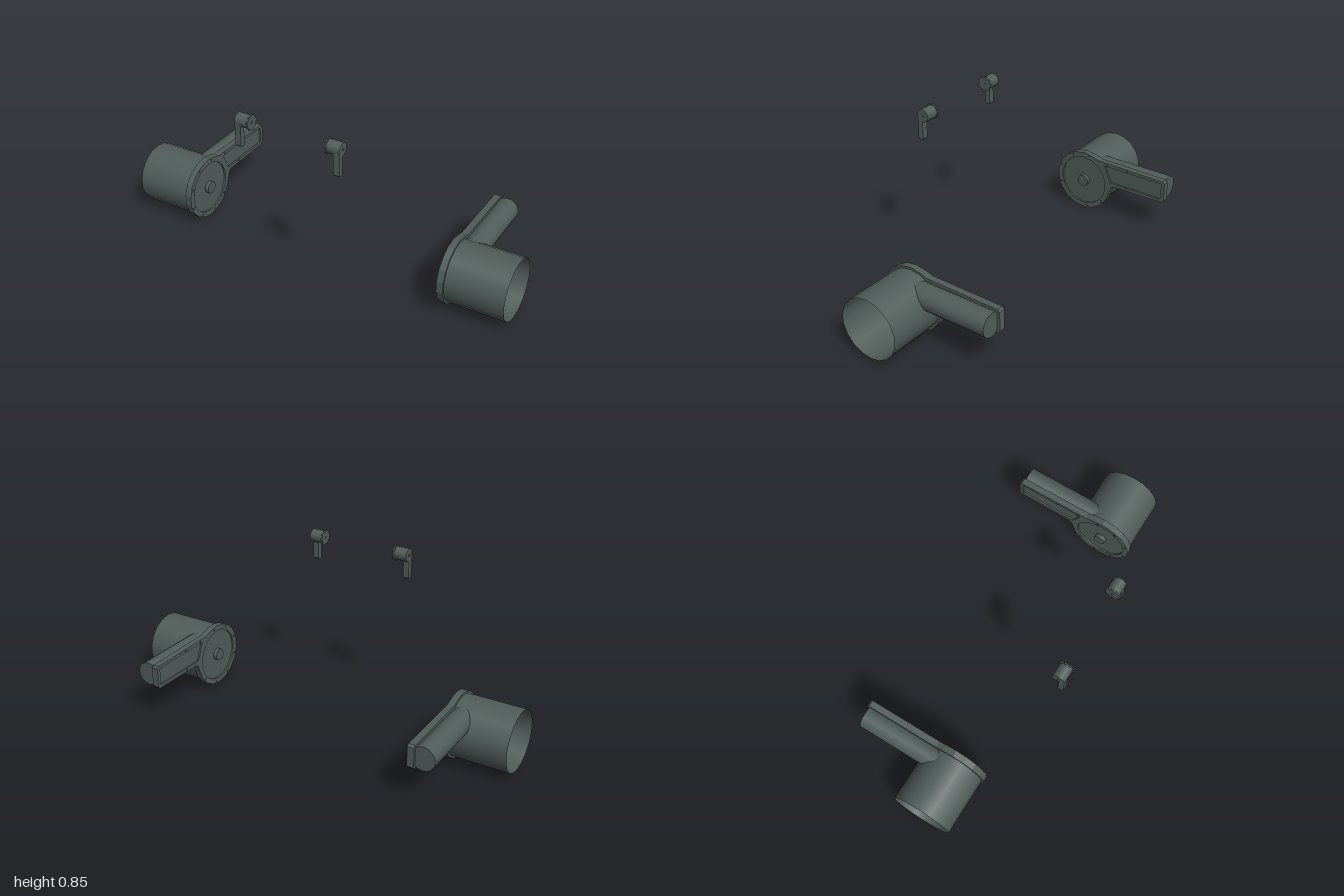
import * as THREE from 'three';

const metal = new THREE.MeshStandardMaterial({ color: 0x515d5a, side: THREE.DoubleSide });
metal.name = 'dark grey metal';

const DRUM = { u: -0.082, y: 0.167 }; // drum axis, u = -z
const KNOB = { u: -0.369, y: 0.818 }; // knob axis

function add(group, name, geometry) {
  const mesh = new THREE.Mesh(geometry, metal);
  mesh.name = name;
  group.add(mesh);
}

// cylinder along x from x0 to x1, with a corner at the top
function rod(r, x0, x1, u, y, sides, open = false) {
  return new THREE.CylinderGeometry(r, r, x1 - x0, sides, 1, open)
    .rotateZ(-Math.PI / 2).rotateX(Math.PI / 2)
    .translate((x0 + x1) / 2, y, -u);
}

// side profile (u, y) extruded from x0 to x1
function slab(points, x0, x1, holes = []) {
  const shape = new THREE.Shape(points);
  holes.forEach(h => shape.holes.push(new THREE.Path(h)));
  return new THREE.ExtrudeGeometry(shape, { depth: x1 - x0, bevelEnabled: false })
    .rotateY(Math.PI / 2).translate(x0, 0, 0);
}

// points on a circle, angles in degrees
function arc(c, r, from, to, step) {
  const points = [];
  for (let a = from; a <= to; a += step) {
    const t = a * Math.PI / 180;
    points.push(new THREE.Vector2(c.u + r * Math.cos(t), c.y + r * Math.sin(t)));
  }
  return points;
}

const pts = list => list.map(([u, y]) => new THREE.Vector2(u, y));

function makeHousing() {
  const g = new THREE.Group();
  // rim plate: drum circle running into the arm
  const outline = [
    ...pts([[0.105, 0.181], [0.395, 0.184], [0.405, 0.194], [0.405, 0.293], [0.395, 0.303], [0.012, 0.308]]),
    ...arc(DRUM, 0.163, 70, 350, 20),
    ...pts([[0.09, 0.17]])
  ];
  const round = arc(DRUM, 0.135, 10, 350, 20);
  const channel = pts([[0.085, 0.2], [0.385, 0.2], [0.385, 0.288], [0.045, 0.288]]);
  add(g, 'rimPlate', slab(outline, 0.678, 0.711, [round, channel]));
  // recessed panels
  add(g, 'discPanel', slab(round, 0.687, 0.698));
  add(g, 'armPanel', slab(channel, 0.687, 0.698));
  // open drum, arm pipe and hub
  add(g, 'drum', rod(0.152, 0.705, 1, DRUM.u, DRUM.y, 18, true));
  add(g, 'armPipe', new THREE.CylinderGeometry(0.059, 0.059, 0.425, 18)
    .rotateX(Math.PI / 2).translate(0.747, 0.244, -0.178));
  add(g, 'hub', rod(0.031, 0.667, 0.7, DRUM.u, DRUM.y, 18));
  // rivets round the rim and along the arm
  const rivets = [...arc(DRUM, 0.149, 80, 340, 40), ...pts([
    [0.18, 0.296], [0.18, 0.192], [0.06, 0.296]
  ])];
  rivets.forEach(p => add(g, 'rivet', rod(0.005, 0.674, 0.68, p.x, p.y, 8)));
  return g;
}

function makeKnob() {
  const g = new THREE.Group();
  add(g, 'knobBody', rod(0.032, 0.2, 0.268, KNOB.u, KNOB.y, 18));
  // scalloped flange
  add(g, 'knobFlange', rod(0.034, 0.195, 0.203, KNOB.u, KNOB.y, 18));
  arc(KNOB, 0.033, 0, 320, 40).forEach(p =>
    add(g, 'knobBump', rod(0.0065, 0.195, 0.203, p.x, p.y, 8)));
  add(g, 'knobPin', rod(0.006, 0.192, 0.272, KNOB.u, KNOB.y, 10));
  // handle with a rounded foot
  add(g, 'knobHandle', slab(pts([
    [-0.399, 0.818], [-0.399, 0.699], [-0.393, 0.692], [-0.377, 0.692], [-0.371, 0.699], [-0.371, 0.818]
  ]), 0.238, 0.268));
  return g;
}

// copy across x = 0, with the corner order turned to match
function mirrored(source) {
  const g = new THREE.Group();
  for (const mesh of source.children) {
    const geo = mesh.geometry.index ? mesh.geometry.toNonIndexed() : mesh.geometry.clone();
    geo.scale(-1, 1, 1);
    for (const { array, itemSize: n } of Object.values(geo.attributes)) {
      for (let i = 0; i < array.length; i += 3 * n) {
        for (let k = 0; k < n; k++) {
          [array[i + k], array[i + 2 * n + k]] = [array[i + 2 * n + k], array[i + k]];
        }
      }
    }
    add(g, mesh.name, geo);
  }
  return g;
}

export function createModel() {
  const model = new THREE.Group();
  model.name = 'drumHousingsAndKnobs';
  for (const [name, part] of [['Housing', makeHousing()], ['Knob', makeKnob()]]) {
    const other = mirrored(part);
    part.name = 'left' + name;
    other.name = 'right' + name;
    model.add(part, other);
  }
  return model;
}
